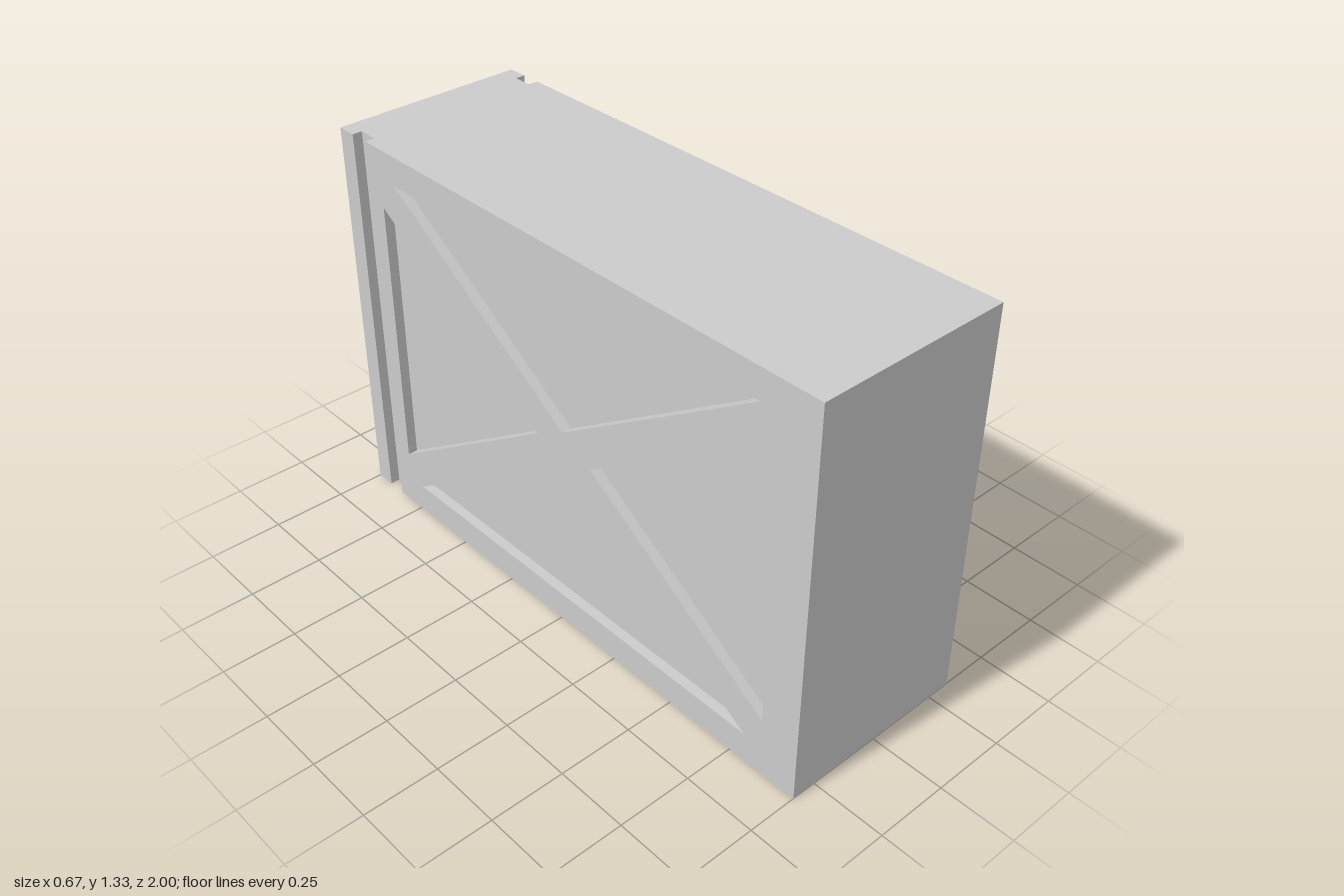
import * as THREE from 'three';

const HALF_WIDTH = 1 / 3, HEIGHT = 4 / 3, DEPTH = 1 / 30;
const CORE = HALF_WIDTH - DEPTH;

export function createModel() {
  const group = new THREE.Group();
  const material = new THREE.MeshStandardMaterial({ color: 0xcccccc, flatShading: true });

  const add = (name, geometry, x, y, z) => {
    const mesh = new THREE.Mesh(geometry, material);
    mesh.name = name;
    mesh.position.set(x, y, z);
    group.add(mesh);
  };

  // Solid body; its sides are the floors of the recesses and grooves
  add('crateBody', new THREE.BoxGeometry(2 * CORE, HEIGHT, 2), 0, HEIGHT / 2, 0);

  // Cross-braced side frame, drawn with horizontal = -z
  const points = (list) => list.map(([z, y]) => new THREE.Vector2(-z, y));
  const frame = new THREE.Shape(points([[1, 0], [-0.867, 0], [-0.867, HEIGHT], [1, HEIGHT]]));
  const recesses = [
    [[0.8, 1.235], [-0.733, 1.235], [0.033, 0.733]],
    [[0.8, 0.1], [-0.733, 0.1], [0.033, 0.602]],
    [[0.867, 0.2], [0.867, 1.135], [0.153, 0.667]],
    [[-0.8, 0.2], [-0.8, 1.135], [-0.086, 0.667]],
  ];
  for (const r of recesses) frame.holes.push(new THREE.Path(points(r)));
  const frameGeometry = new THREE.ExtrudeGeometry(frame, { depth: DEPTH, bevelEnabled: false });
  frameGeometry.rotateY(Math.PI / 2);

  // Strip behind the vertical groove
  const stripGeometry = new THREE.BoxGeometry(DEPTH, HEIGHT, 0.067);

  for (const [side, s] of [['left', 1], ['right', -1]]) {
    add(side + 'BracedFrame', frameGeometry, s > 0 ? CORE : -HALF_WIDTH, 0, 0);
    add(side + 'RearStrip', stripGeometry, s * (CORE + DEPTH / 2), HEIGHT / 2, -0.9665);
  }
  return group;
}
